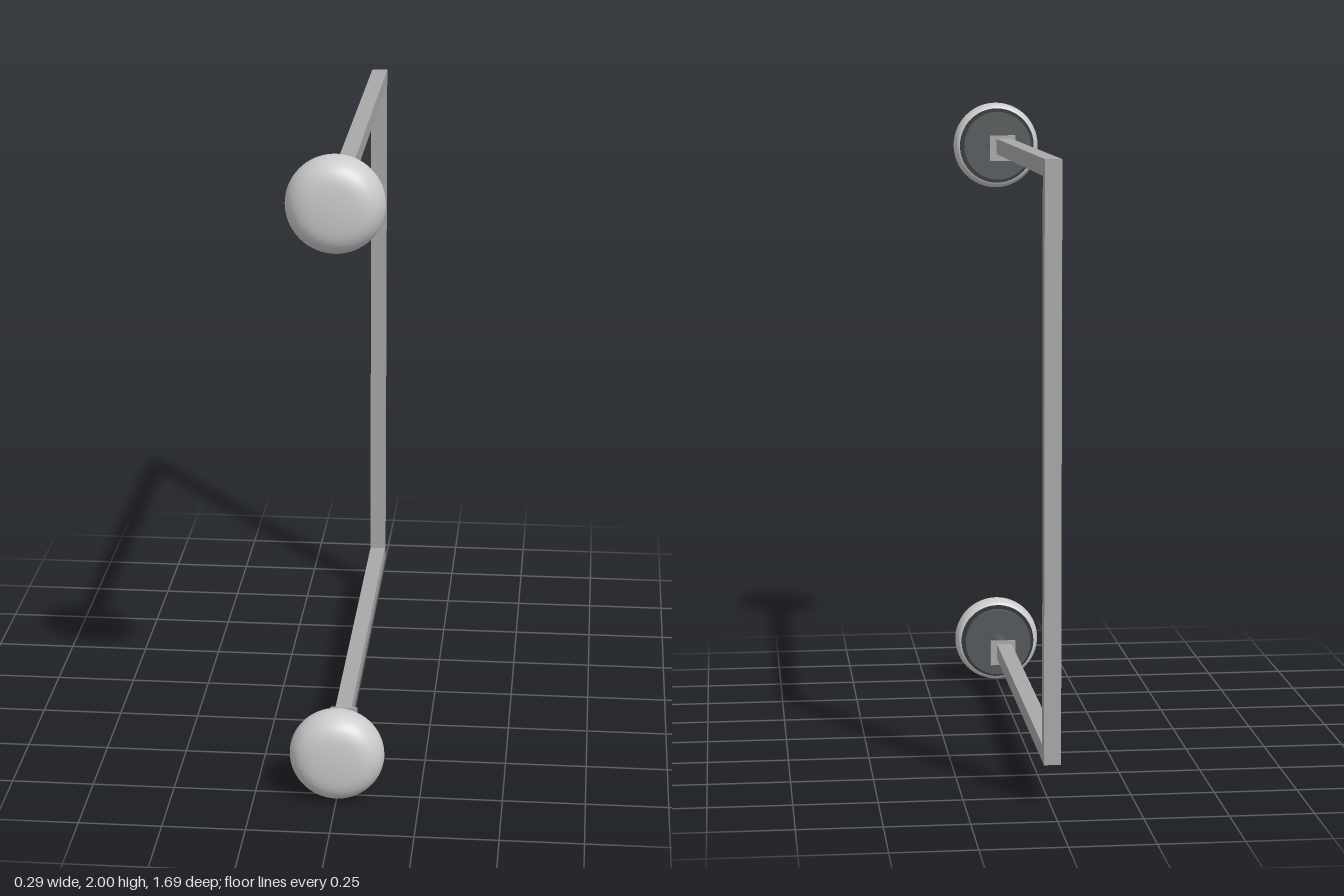
import * as THREE from 'three';

const metal = new THREE.MeshStandardMaterial({ color: 0xa8a8a8 });
const dark = new THREE.MeshStandardMaterial({ color: 0x54585a });
const rubber = new THREE.MeshStandardMaterial({ color: 0x303334 });
const white = new THREE.MeshStandardMaterial({ color: 0xe6e6e6 });

function part(parent, name, geometry, material) {
  const mesh = new THREE.Mesh(geometry, material);
  mesh.name = name;
  parent.add(mesh);
  return mesh;
}

// Round bar along z, from z0 to z1
function disc(parent, name, radius, z0, z1, material) {
  const geometry = new THREE.CylinderGeometry(radius, radius, z1 - z0, 48);
  geometry.rotateX(Math.PI / 2).translate(0, 0, (z0 + z1) / 2);
  return part(parent, name, geometry, material);
}

// Knob with its stem and mounting plate, centred on the z axis
function createKnob() {
  const knob = new THREE.Group();
  const plate = new THREE.BoxGeometry(0.084, 0.084, 0.008).translate(0, 0, 0.53);
  part(knob, 'mountingPlate', plate, metal);
  disc(knob, 'stem', 0.028, 0.53, 0.7, dark);
  disc(knob, 'stemCollar', 0.036, 0.682, 0.692, dark);
  disc(knob, 'backDisc', 0.113, 0.688, 0.716, dark);
  disc(knob, 'gasket', 0.125, 0.714, 0.724, rubber);

  // Rounded cap: a smooth profile turned about z
  const profile = new THREE.SplineCurve([
    [0.122, 0.719], [0.135, 0.728], [0.143, 0.758], [0.137, 0.79],
    [0.118, 0.819], [0.088, 0.836], [0.045, 0.843], [0, 0.845],
  ].map(([r, z]) => new THREE.Vector2(r, z))).getPoints(28);
  profile[profile.length - 1].x = 0;
  const cap = new THREE.LatheGeometry([new THREE.Vector2(0, 0.719), ...profile], 64);
  part(knob, 'cap', cap.rotateX(Math.PI / 2), white);
  return knob;
}

export function createModel() {
  const model = new THREE.Group();
  model.name = 'bracketWithKnobs';

  // Square bar bent into a C, drawn as (z, y) and extruded across x
  const outline = new THREE.Shape([
    [0.53, 0.127], [0.53, 0.177], [-0.795, 0.177], [-0.795, 1.838],
    [0.53, 1.838], [0.53, 1.888], [-0.845, 1.888], [-0.845, 0.127],
  ].map(([z, y]) => new THREE.Vector2(z, y)));
  const bar = new THREE.ExtrudeGeometry(outline, { depth: 0.05, bevelEnabled: false });
  bar.rotateY(-Math.PI / 2).translate(0.021, 0, 0);
  part(model, 'frame', bar, metal);

  for (const [name, y] of [['lowerKnob', 0.146], ['upperKnob', 1.857]]) {
    const knob = createKnob();
    knob.name = name;
    knob.position.y = y;
    model.add(knob);
  }
  return model;
}
